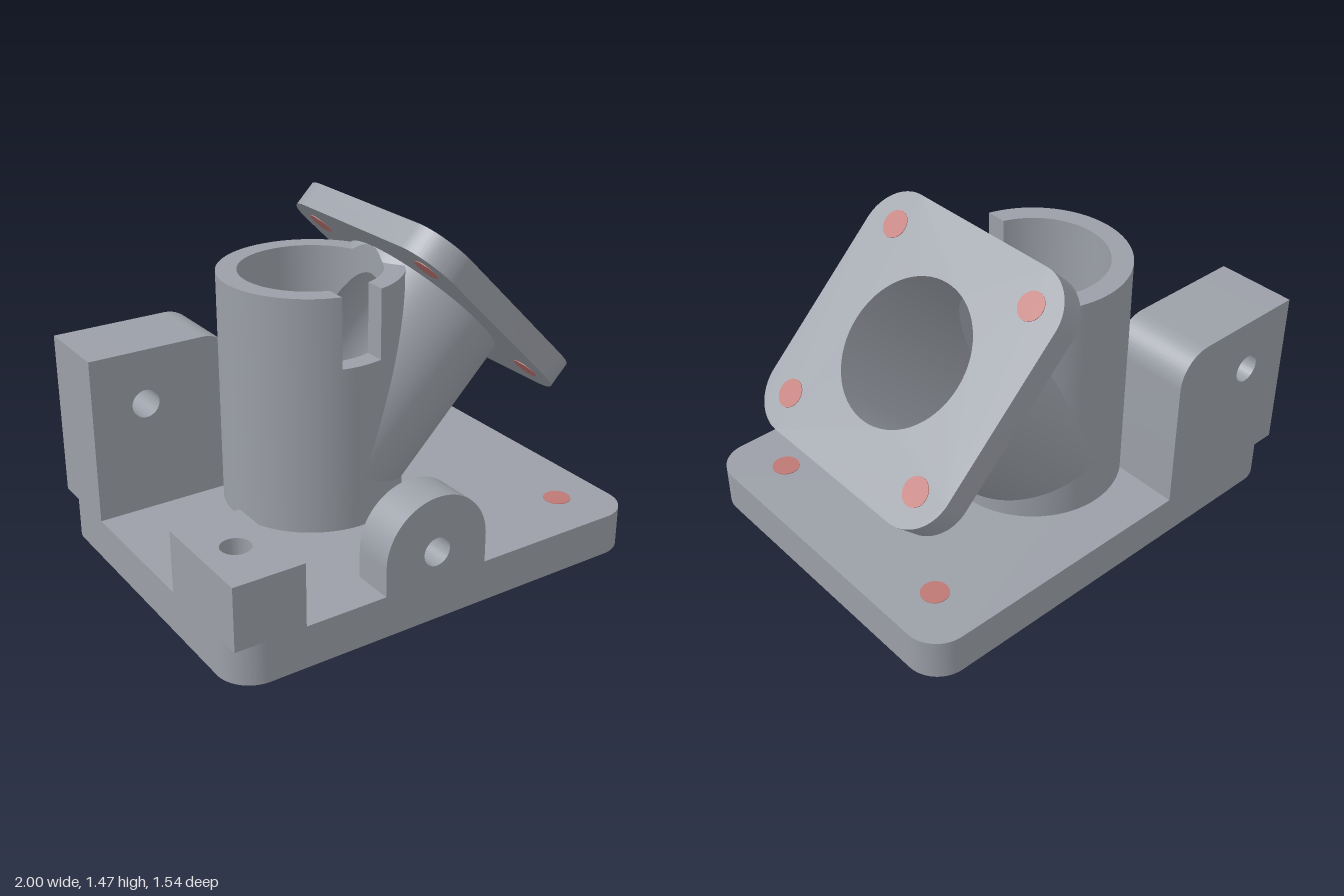
import * as THREE from 'three';
import { mergeGeometries, toCreasedNormals } from 'three/addons/utils/BufferGeometryUtils.js';

const PI = Math.PI, TAN = Math.tan(PI / 8);
const CX = -0.08, CZ = -0.155;        // bore axis
const BASE = 0.185, TOP = 1.235, NOTCH = 0.925, NOTCH_HALF = 0.095;
const RO = 0.4, RI = 0.31;            // pipe radii
const YC = 0.4025;                    // height where the two pipe axes meet
const FLANGE0 = 0.838, FLANGE1 = 0.958; // flange distances along the branch

// Ruled surface between two curves over the range a..b
function strip(a, b, n, low, high, flip = false) {
  const pos = [], idx = [];
  for (let i = 0; i <= n; i++) {
    const t = a + (b - a) * i / n;
    pos.push(...low(t), ...high(t));
    if (i === n) continue;
    const k = 2 * i;
    if (flip) idx.push(k, k + 2, k + 1, k + 1, k + 2, k + 3);
    else idx.push(k, k + 1, k + 2, k + 1, k + 3, k + 2);
  }
  const g = new THREE.BufferGeometry();
  g.setAttribute('position', new THREE.Float32BufferAttribute(pos, 3));
  g.setIndex(idx);
  return g;
}
const ring = (r, y) => (t) => [r * Math.cos(t), y(t), r * Math.sin(t)];

function roundedRect(w, h, r) {
  const s = new THREE.Shape(), x = w / 2 - r, y = h / 2 - r;
  s.absarc(x, y, r, 0, PI / 2);
  s.absarc(-x, y, r, PI / 2, PI);
  s.absarc(-x, -y, r, PI, 1.5 * PI);
  s.absarc(x, -y, r, 1.5 * PI, 2 * PI);
  s.closePath();
  return s;
}
function drill(shape, x, y, r) {
  const p = new THREE.Path();
  p.absarc(x, y, r, 0, 2 * PI, true);
  shape.holes.push(p);
  return shape;
}
function extrude(shape, depth) {
  const g = new THREE.ExtrudeGeometry(shape, { depth, bevelEnabled: false, curveSegments: 32 });
  return toCreasedNormals(g, 0.5);
}
const slab = (shape, depth) => extrude(shape, depth).rotateX(-PI / 2);

// Upright pipe, cut open where the branch joins it, with a slot in the front
function mainPipeGeometry() {
  const parts = [];
  const xp = (r, t) => Math.max(0, r * Math.cos(t));
  for (const [r, bottom, inner] of [[RO, BASE, false], [RI, 0, true]]) {
    const a = Math.asin(NOTCH_HALF / r);
    const rim = (t) => {
      if (!inner) return TOP;
      const x = r * Math.cos(t), z = r * Math.sin(t);
      const crown = YC + x + Math.SQRT2 * Math.sqrt(RO * RO - z * z);
      return x > 0 ? Math.max(TOP, Math.min(crown, YC + FLANGE0 * Math.SQRT2 - x)) : TOP;
    };
    const arcs = [
      [-PI / 2, PI / 2 - a, 64, rim],
      [PI / 2 - a, PI / 2 + a, 12, () => NOTCH],
      [PI / 2 + a, 1.5 * PI, 56, rim],
    ];
    for (const [t0, t1, n, top] of arcs) {
      const under = (t) => YC - TAN * xp(r, t);
      const over = (t) => Math.min(top(t), YC + xp(r, t) / TAN);
      parts.push(strip(t0, t1, n, ring(r, () => bottom), ring(r, under), inner));
      parts.push(strip(t0, t1, n, ring(r, over), ring(r, top), inner));
    }
  }
  // Rim
  const rimCurve = (r) => {
    const a = Math.asin(NOTCH_HALF / r);
    return (f) => {
      const t = PI / 2 + a + f * (2 * PI - 2 * a);
      return [r * Math.cos(t), TOP, r * Math.sin(t)];
    };
  };
  parts.push(strip(0, 1, 96, rimCurve(RO), rimCurve(RI)));
  // Slot floor and sides
  const wallZ = (r, x) => Math.sqrt(r * r - x * x);
  parts.push(strip(-NOTCH_HALF, NOTCH_HALF, 12,
    (x) => [x, NOTCH, wallZ(RO, x)], (x) => [x, NOTCH, wallZ(RI, x)], true));
  for (const s of [-1, 1]) {
    const x = s * NOTCH_HALF;
    parts.push(strip(NOTCH, TOP, 1,
      (y) => [x, y, wallZ(RI, x)], (y) => [x, y, wallZ(RO, x)], s < 0));
  }
  return toCreasedNormals(mergeGeometries(parts), 0.5);
}

// Slanted pipe in its own frame (axis along y), mitred onto the upright pipe
function branchPipeGeometry() {
  const mitre = (r) => (t) => r * (Math.SQRT2 * Math.abs(Math.cos(t)) - Math.cos(t));
  const outerStart = (t) => {
    const c = -Math.cos(t), z = RO * Math.sin(t);
    const rimCut = (TOP - YC) * Math.SQRT2 - RO * c;
    const boreCut = Math.abs(z) < RI ? Math.SQRT2 * Math.sqrt(RI * RI - z * z) + RO * c : 0;
    const start = c > 0 ? Math.max(boreCut, Math.min(mitre(RO)(t), rimCut)) : mitre(RO)(t);
    return Math.min(FLANGE0, start);
  };
  const parts = [
    strip(0, 2 * PI, 128, ring(RO, outerStart), ring(RO, () => FLANGE0)),
    strip(0, 2 * PI, 128, ring(RI, mitre(RI)), ring(RI, () => FLANGE1), true),
  ];
  return toCreasedNormals(mergeGeometries(parts), 0.5);
}

export function createModel() {
  const model = new THREE.Group();
  model.name = 'pipeBracket';
  const steel = new THREE.MeshStandardMaterial({ color: 0x9b9fa7, side: THREE.DoubleSide });
  steel.name = 'steelGrey';
  const red = new THREE.MeshStandardMaterial({ color: 0xbe7875 });
  red.name = 'mutedRed';

  const add = (name, geo, x = 0, y = 0, z = 0, mat = steel, parent = model) => {
    const m = new THREE.Mesh(geo, mat);
    m.name = name;
    m.position.set(x, y, z);
    parent.add(m);
    return m;
  };
  // Filled bolt hole showing on both faces of a plate
  const plug = (name, x, z, y0, y1, parent) => add(name,
    new THREE.CylinderGeometry(0.06, 0.06, y1 - y0 + 0.006, 32), x, (y0 + y1) / 2, z, red, parent);

  // Base plate
  add('basePlate', slab(drill(roundedRect(2, 1.54, 0.15), CX, -CZ, RI), BASE));
  for (const z of [-0.52, 0.52]) plug('baseBoltHole', 0.78, z, 0, BASE, model);

  // Upright pipe
  add('mainPipe', mainPipeGeometry(), CX, 0, CZ);

  // Slanted branch with its square flange
  const branch = new THREE.Group();
  branch.name = 'branch';
  branch.position.set(CX, YC, CZ);
  branch.rotation.z = -PI / 4;
  model.add(branch);
  add('branchPipe', branchPipeGeometry(), 0, 0, 0, steel, branch);
  add('flange', slab(drill(roundedRect(1.107, 1.107, 0.19), 0, 0, RI), FLANGE1 - FLANGE0),
    0, FLANGE0, 0, steel, branch);
  for (const x of [-0.4, 0.4]) for (const z of [-0.4, 0.4])
    plug('flangeBoltHole', x, z, FLANGE0, FLANGE1, branch);

  // Tall rear block with one rounded top edge and a cross hole
  const tall = new THREE.Shape();
  tall.moveTo(-1, BASE);
  tall.lineTo(-0.325, BASE);
  tall.absarc(-0.475, 0.775, 0.15, 0, PI / 2);
  tall.lineTo(-1, 0.925);
  tall.closePath();
  add('rearBlock', extrude(drill(tall, -0.755, 0.68, 0.063), 0.365), 0, 0, -0.77);

  // Low front block with an upright hole
  const low = new THREE.Shape();
  low.moveTo(-1, -0.77);
  low.lineTo(-0.69, -0.77);
  low.lineTo(-0.69, -0.277);
  low.lineTo(-1, -0.277);
  low.closePath();
  add('frontBlock', slab(drill(low, -0.845, -0.52, 0.063), 0.275), 0, BASE, 0);

  // Arched front lug
  const lug = new THREE.Shape();
  lug.moveTo(CX - 0.245, BASE);
  lug.lineTo(CX + 0.245, BASE);
  lug.absarc(CX, 0.31, 0.245, 0, PI);
  lug.closePath();
  add('frontLug', extrude(drill(lug, CX, 0.31, 0.063), 0.185), 0, 0, 0.585);

  return model;
}
